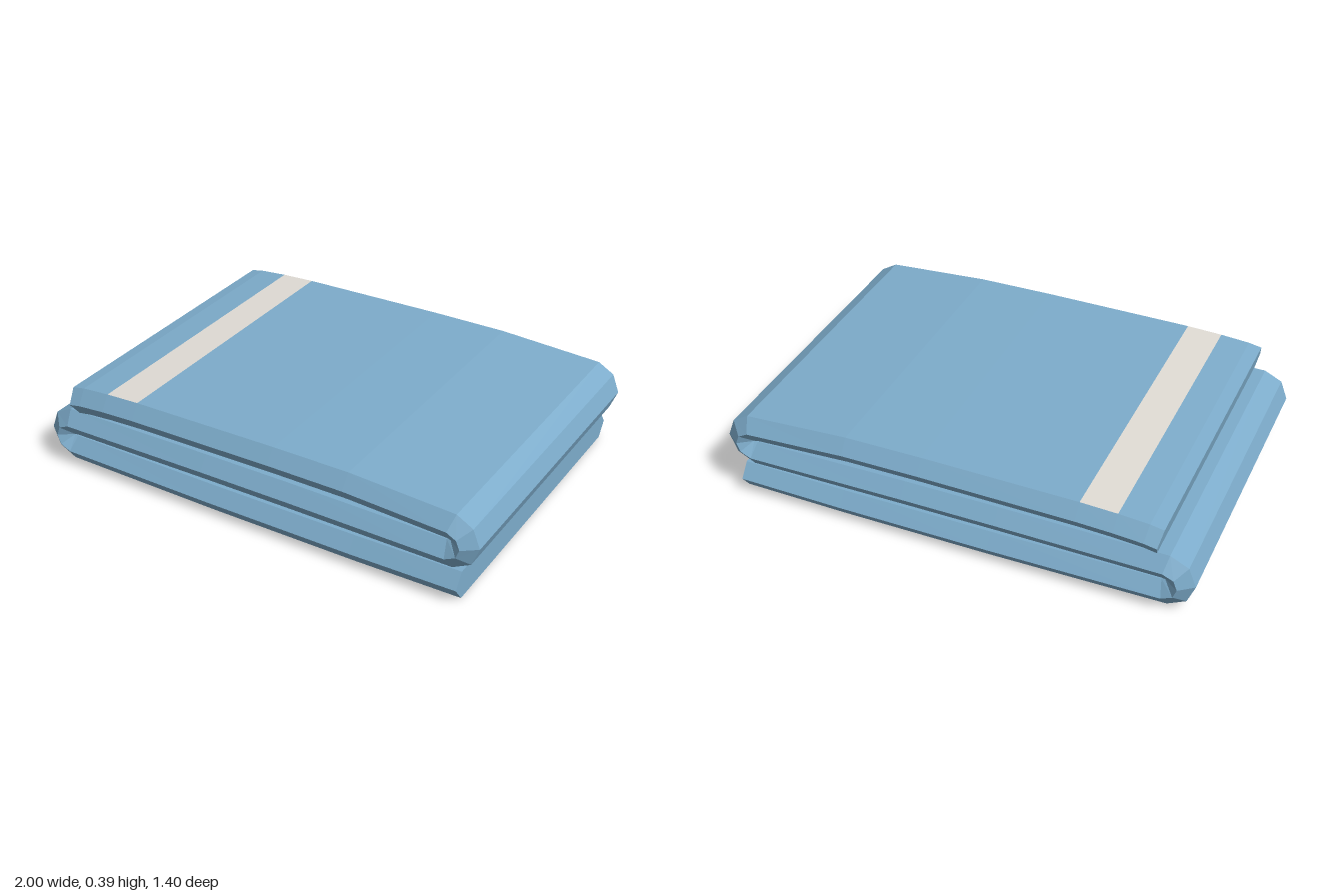
import * as THREE from 'three';

const HALF = 0.06;            // half the cloth thickness
const Z_FLAT = 0.655, Z_EDGE = 0.7; // flat faces end here, bevelled edge peaks here

// Centre line of the folded cloth (x, y), from the bottom free end to the top free end
const PATH = [
  [0.935, 0.067], [0.48, 0.06], [-0.17, 0.06], [-0.88, 0.068],
  [-0.925, 0.09], [-0.94, 0.13], [-0.925, 0.17], [-0.88, 0.19],   // left fold
  [-0.2, 0.195], [0.2, 0.195], [0.88, 0.19],
  [0.925, 0.212], [0.94, 0.25], [0.925, 0.288], [0.885, 0.31],    // right fold
  [0.45, 0.333], [0.12, 0.334], [-0.53, 0.327], [-0.68, 0.321], [-0.8, 0.312], [-0.853, 0.302],
].map(([x, y]) => new THREE.Vector2(x, y));
const STRIPE_SEGMENT = 17;    // path segment whose upper face is the stripe
const UPPER_FACE = 3;

// Six-sided cross-section at path point i
function ring(i) {
  const dir = new THREE.Vector2();
  if (i > 0) dir.add(PATH[i].clone().sub(PATH[i - 1]).normalize());
  if (i < PATH.length - 1) dir.add(PATH[i + 1].clone().sub(PATH[i]).normalize());
  dir.normalize();
  return [[1, -Z_FLAT], [1, Z_FLAT], [0, Z_EDGE], [-1, Z_FLAT], [-1, -Z_FLAT], [0, -Z_EDGE]]
    .map(([s, z]) => new THREE.Vector3(PATH[i].x - dir.y * s * HALF, PATH[i].y + dir.x * s * HALF, z));
}

// Flat-shaded mesh from convex polygons
function polygonMesh(name, polygons, color) {
  const points = [];
  for (const p of polygons)
    for (let k = 1; k < p.length - 1; k++) points.push(p[0], p[k], p[k + 1]);
  const geometry = new THREE.BufferGeometry().setFromPoints(points);
  geometry.computeVertexNormals();
  const mesh = new THREE.Mesh(geometry, new THREE.MeshStandardMaterial({ color, flatShading: true }));
  mesh.name = name;
  return mesh;
}

export function createModel() {
  const rings = PATH.map((_, i) => ring(i));
  const cloth = [], stripe = [];
  for (let i = 0; i < rings.length - 1; i++) {
    for (let k = 0; k < 6; k++) {
      const n = (k + 1) % 6;
      const target = i === STRIPE_SEGMENT && k === UPPER_FACE ? stripe : cloth;
      target.push([rings[i][k], rings[i][n], rings[i + 1][n], rings[i + 1][k]]);
    }
  }
  // Free ends
  cloth.push([...rings[0]].reverse(), rings[rings.length - 1]);

  const group = new THREE.Group();
  group.name = 'foldedTowel';
  group.add(polygonMesh('foldedCloth', cloth, 0x7daccb), polygonMesh('stripe', stripe, 0xe0dcd5));
  return group;
}
